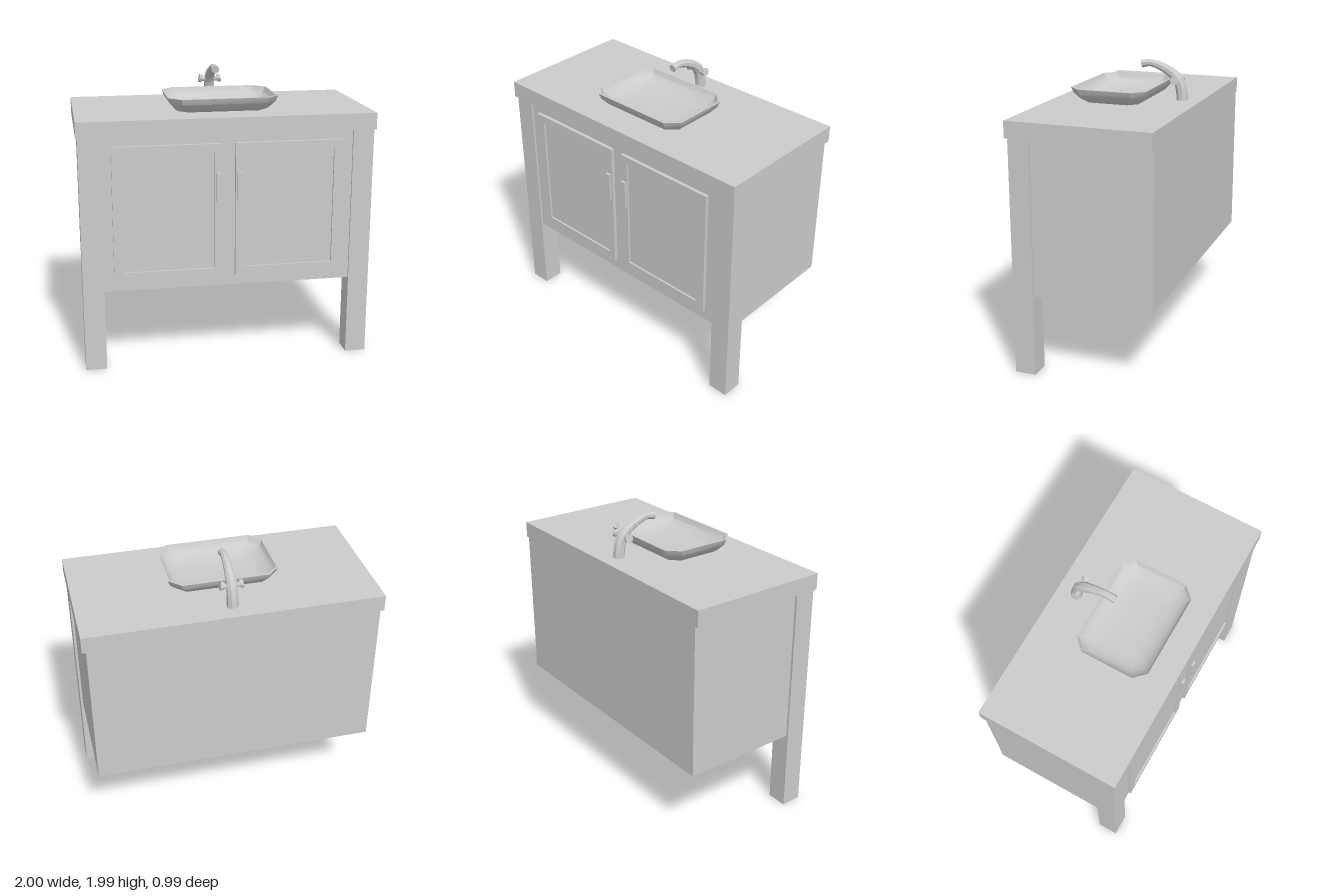
import * as THREE from 'three';
import { toCreasedNormals } from 'three/addons/utils/BufferGeometryUtils.js';

const material = new THREE.MeshStandardMaterial({ color: 0xcccccc });

function add(parent, name, geometry) {
  const mesh = new THREE.Mesh(geometry, material);
  mesh.name = name;
  parent.add(mesh);
  return mesh;
}

// Box given by its extents along each axis
function block(parent, name, [x0, x1], [y0, y1], [z0, z1]) {
  const mesh = add(parent, name, new THREE.BoxGeometry(x1 - x0, y1 - y0, z1 - z0));
  mesh.position.set((x0 + x1) / 2, (y0 + y1) / 2, (z0 + z1) / 2);
  return mesh;
}

// Skin over a row of rings (counter-clockwise about the direction of travel), capped at both ends
function loft(rings) {
  const n = rings[0].length, last = rings.length - 1;
  const points = rings.flat();
  const index = [];
  for (let r = 0; r < last; r++) {
    for (let i = 0; i < n; i++) {
      const a = r * n + i, b = r * n + (i + 1) % n;
      index.push(a, b, b + n, a, b + n, a + n);
    }
  }
  for (const r of [0, last]) {
    const centre = new THREE.Vector3();
    rings[r].forEach((p) => centre.addScaledVector(p, 1 / n));
    const c = points.push(centre) - 1;
    for (let i = 0; i < n; i++) {
      const a = r * n + i, b = r * n + (i + 1) % n;
      if (r === 0) index.push(c, b, a);
      else index.push(c, a, b);
    }
  }
  const geometry = new THREE.BufferGeometry().setFromPoints(points);
  geometry.setIndex(index);
  return toCreasedNormals(geometry, 0.7);
}

// Rectangle with chamfered corners, lying flat at height y
function chamferedRing(hx, hz, c, y, zc) {
  return [
    [hx, hz - c], [hx, c - hz], [hx - c, -hz], [c - hx, -hz],
    [-hx, c - hz], [-hx, hz - c], [c - hx, hz], [hx - c, hz],
  ].map(([x, z]) => new THREE.Vector3(x, y, zc + z));
}

function rectangle(path, x0, x1, y0, y1) {
  path.moveTo(x0, y0);
  path.lineTo(x1, y0);
  path.lineTo(x1, y1);
  path.lineTo(x0, y1);
  path.closePath();
  return path;
}

function createDoor(side) {
  const door = new THREE.Group();
  door.name = side > 0 ? 'leftDoor' : 'rightDoor';
  const span = (a, b) => (side > 0 ? [a, b] : [-b, -a]);
  const frame = rectangle(new THREE.Shape(), ...span(0.042, 0.778), 0.635, 1.55);
  frame.holes.push(rectangle(new THREE.Path(), ...span(0.098, 0.714), 0.69, 1.49));
  const frameGeometry = new THREE.ExtrudeGeometry(frame, { depth: 0.028, bevelEnabled: false });
  add(door, 'doorFrame', frameGeometry).position.z = 0.451;
  block(door, 'doorPanel', span(0.09, 0.72), [0.68, 1.5], [0.45, 0.465]);
  block(door, 'doorHandle', span(0.053, 0.09), [1.16, 1.355], [0.47, 0.495]);
  return door;
}

function createBasin() {
  // [inset, height, corner chamfer]: up the outside, over the rim, down the inside
  const profile = [
    [0.075, 1.722, 0.06], [0.055, 1.735, 0.065], [0.015, 1.78, 0.075], [0, 1.82, 0.08],
    [0.013, 1.82, 0.075], [0.028, 1.785, 0.07], [0.065, 1.755, 0.055],
    [0.11, 1.74, 0.035], [0.17, 1.733, 0.015],
  ];
  return loft(profile.map(([d, y, c]) => chamferedRing(0.375 - d, 0.27 - d, c, y, 0.065)));
}

function createSpout() {
  // Centre line [z, y] and radius
  const stations = [
    [-0.363, 1.72, 0.04], [-0.356, 1.795, 0.038], [-0.328, 1.868, 0.037],
    [-0.255, 1.924, 0.031], [-0.17, 1.958, 0.026], [-0.125, 1.965, 0.024], [-0.073, 1.956, 0.028],
  ];
  const curve = new THREE.CatmullRomCurve3(stations.map(([z, y]) => new THREE.Vector3(0, y, z)));
  const axisX = new THREE.Vector3(1, 0, 0);
  const rings = [];
  const steps = 12, sides = 8;
  for (let s = 0; s <= steps; s++) {
    const t = s / steps, f = t * (stations.length - 1);
    const k = Math.min(Math.floor(f), stations.length - 2);
    const radius = THREE.MathUtils.lerp(stations[k][2], stations[k + 1][2], f - k);
    const centre = curve.getPoint(t);
    const across = curve.getTangent(t).cross(axisX);
    rings.push(Array.from({ length: sides }, (_, i) => {
      const a = ((i + 0.5) / sides) * Math.PI * 2;
      return centre.clone()
        .addScaledVector(axisX, Math.cos(a) * radius)
        .addScaledVector(across, Math.sin(a) * radius);
    }));
  }
  return loft(rings);
}

function createTap(side) {
  const tap = new THREE.Group();
  tap.name = side > 0 ? 'leftTap' : 'rightTap';
  const smooth = (g) => toCreasedNormals(g, 0.7);
  add(tap, 'tapStem', smooth(new THREE.CylinderGeometry(0.018, 0.014, 0.065, 8))).position.y = 0.03;
  add(tap, 'tapKnob', smooth(new THREE.CylinderGeometry(0.03, 0.027, 0.023, 8))).position.y = 0.067;
  tap.position.set(0, 1.848, -0.328);
  tap.rotation.z = -side * (Math.PI / 2 - 0.2);
  return tap;
}

export function createModel() {
  const vanity = new THREE.Group();
  vanity.name = 'washstand';

  // Cabinet body and worktop
  block(vanity, 'cabinet', [-0.973, 0.973], [0.557, 1.61], [-0.494, 0.455]);
  block(vanity, 'countertop', [-1, 1], [1.61, 1.722], [-0.494, 0.486]);

  // Basin and spout
  add(vanity, 'basin', createBasin());
  const faucet = new THREE.Group();
  faucet.name = 'faucet';
  add(faucet, 'spout', createSpout());
  vanity.add(faucet);

  // Mirrored parts
  for (const side of [1, -1]) {
    const x = side > 0 ? [0.847, 0.99] : [-0.99, -0.847];
    block(vanity, side > 0 ? 'leftLeg' : 'rightLeg', x, [0, 1.61], [0.325, 0.468]);
    vanity.add(createDoor(side));
    faucet.add(createTap(side));
  }
  return vanity;
}
